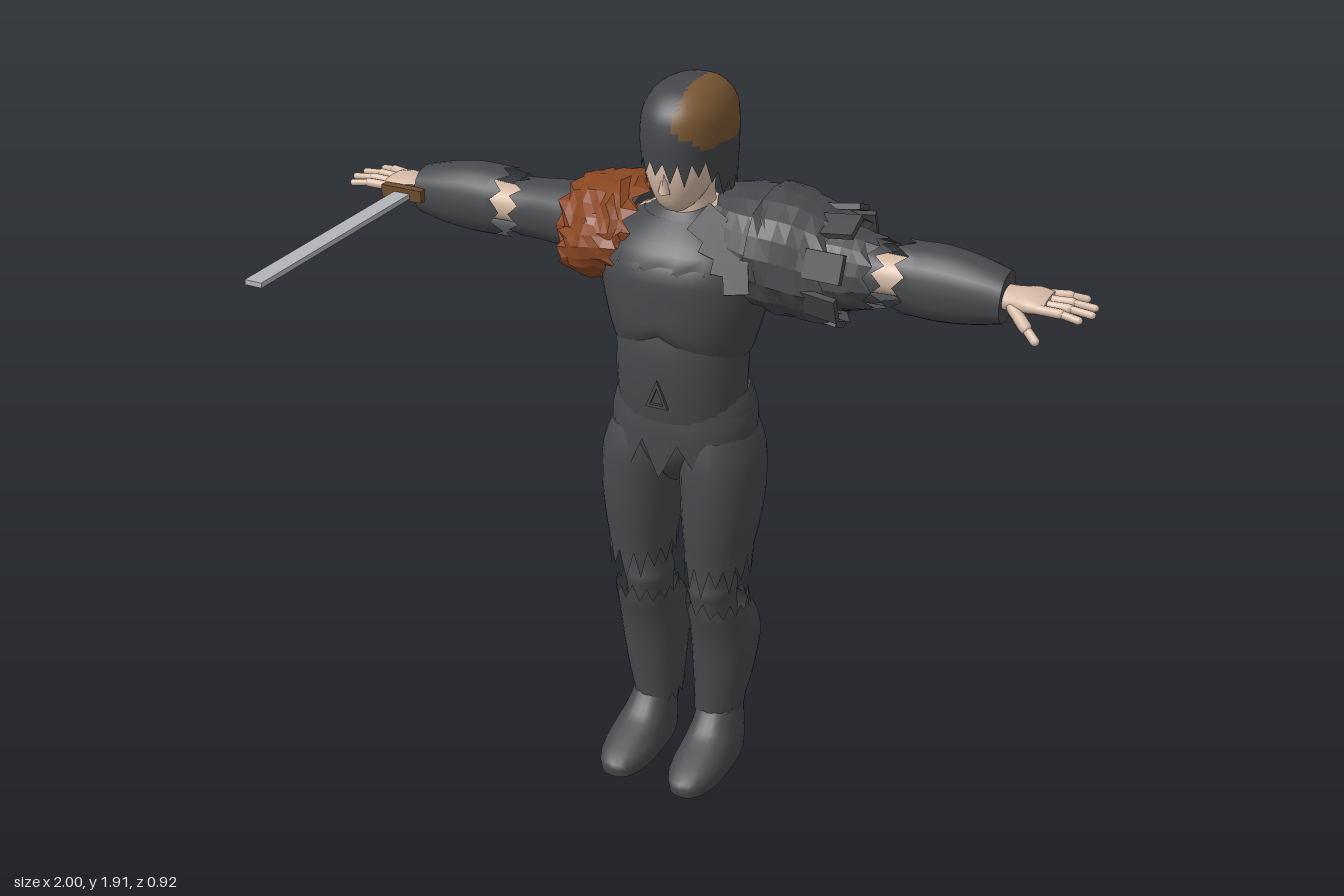
import * as THREE from 'three';

const mat = (name, color, side = THREE.DoubleSide) => {
  const m = new THREE.MeshStandardMaterial({ color, side });
  m.name = name;
  return m;
};
const hash = i => { const s = Math.sin(i * 12.9898 + 4.1) * 43758.5453; return s - Math.floor(s); };
const cat = (a, b, c, d, t) => 0.5 * (2 * b + (c - a) * t + (2 * a - 5 * b + 4 * c - d) * t * t + (3 * b - a - 3 * c + d) * t * t * t);

// Skin through elliptical sections [t, a, b, ra, rb]; axis y: a=x, b=z; axis x: a=y, b=z.
// jag0 / jag1 cut the first / last ring into teeth, crumple wrinkles the cloth.
function loft(axis, secs, { n = 28, steps = 3, pow = 0.9, jag0 = 0, jag1 = 0, cap = true, crumple = 0, warp, flat } = {}) {
  const rings = [];
  for (let i = 0; i < secs.length - 1; i++) for (let k = 0; k < steps; k++)
    rings.push(secs[i].map((_, c) => cat((secs[i - 1] ?? secs[i])[c], secs[i][c], secs[i + 1][c], (secs[i + 2] ?? secs[i + 1])[c], k / steps)));
  rings.push(secs[secs.length - 1]);
  const pos = [], idx = [], last = rings.length - 1;
  const put = (t, a, b) => {
    const p = axis === 'y' ? new THREE.Vector3(a, t, b) : new THREE.Vector3(t, a, b);
    if (warp) warp(p);
    pos.push(p.x, p.y, p.z);
  };
  const se = v => Math.sign(v) * Math.abs(v) ** pow;
  const ring = (j, teeth) => {
    const [t, a, b, ra, rb] = rings[j];
    for (let i = 0; i < n; i++) {
      const th = i / n * Math.PI * 2 * (axis === 'y' ? 1 : -1), w = 1 + crumple * (hash(i + j * 7) - 0.5);
      const tooth = teeth ? (i % 2) * (0.4 + 0.6 * hash(i)) * (j === 0 ? -jag0 : j === last ? jag1 : 0) : 0;
      put(t + tooth, a + se(Math.cos(th)) * ra * w, b + se(Math.sin(th)) * rb * w);
    }
  };
  rings.forEach((_, j) => ring(j, true));
  for (let j = 0; j < last; j++) for (let i = 0; i < n; i++) {
    const a = j * n + i, b = j * n + (i + 1) % n;
    idx.push(a, a + n, b, b, a + n, b + n);
  }
  for (const j of [0, last]) {
    if (!cap || (j ? jag1 : jag0)) continue;
    const s = pos.length / 3;
    ring(j, false);
    put(rings[j][0], rings[j][1], rings[j][2]);
    for (let i = 0; i < n; i++) {
      const q = (i + 1) % n;
      idx.push(s + n, s + (j ? q : i), s + (j ? i : q));
    }
  }
  let g = new THREE.BufferGeometry();
  g.setAttribute('position', new THREE.Float32BufferAttribute(pos, 3));
  g.setIndex(idx);
  if (flat) g = g.toNonIndexed();
  g.computeVertexNormals();
  return g;
}

// Sort faces into two material groups by a rule on their centres
function split(g, rule) {
  const p = g.attributes.position, src = g.index.array, sets = [[], []];
  for (let i = 0; i < src.length; i += 3) {
    const c = new THREE.Vector3(), v = new THREE.Vector3();
    for (let k = 0; k < 3; k++) c.add(v.fromBufferAttribute(p, src[i + k]));
    sets[rule(c.divideScalar(3)) ? 1 : 0].push(src[i], src[i + 1], src[i + 2]);
  }
  g.setIndex([...sets[0], ...sets[1]]);
  g.addGroup(0, sets[0].length, 0);
  g.addGroup(sets[0].length, sets[1].length, 1);
  return g;
}

function mirrored(g) {
  const m = g.index ? g.toNonIndexed() : g.clone();
  for (const name of ['position', 'normal']) {
    const a = m.attributes[name];
    for (let i = 0; i < a.count; i += 3) {
      const t = [0, 2, 1].map(k => [-a.getX(i + k), a.getY(i + k), a.getZ(i + k)]);
      t.forEach((v, k) => a.setXYZ(i + k, ...v));
    }
  }
  return m;
}

export function createModel() {
  const model = new THREE.Group();
  const armour = mat('charcoal', 0x48494c), hairMat = mat('dark hair', 0x45464a), brown = mat('hair brown', 0x785632);
  const rust = mat('rust cloth', 0x8a4722), skin = mat('skin', 0xd6baa6);
  const steel = mat('steel', 0xb4b5b8), wood = mat('hilt brown', 0x6e4e30);
  const add = (name, g, m) => {
    const mesh = new THREE.Mesh(g, m);
    mesh.name = name;
    model.add(mesh);
    return mesh;
  };
  const pair = (name, g, m) => { add(name + 'Left', g, m); add(name + 'Right', mirrored(g), m); };

  // Legs
  pair('boot', loft('y', [[0, .103, -.14, .07, .17], [.04, .103, -.14, .073, .17], [.075, .103, -.175, .066, .135], [.11, .1, -.215, .06, .095], [.17, .095, -.24, .052, .072]], { pow: .8 }), armour);
  pair('greave', loft('y', [[.15, .092, -.24, .062, .082], [.24, .1, -.245, .075, .096], [.36, .105, -.247, .086, .112], [.44, .105, -.225, .084, .108], [.5, .103, -.185, .08, .088]],
    { jag0: .05, jag1: .045 }), armour);
  pair('knee', loft('y', [[.4, .095, -.2, .055, .07], [.52, .093, -.185, .058, .075], [.56, .093, -.18, .06, .08], [.6, .093, -.18, .054, .073], [.72, .1, -.19, .07, .09]]), armour);
  pair('thigh', loft('y', [[.66, .108, -.18, .08, .108], [.75, .111, -.19, .092, .13], [.86, .112, -.195, .1, .142], [.96, .108, -.197, .098, .142], [1.03, .1, -.2, .08, .13]],
    { jag0: .085, cap: false }), armour);

  // Hips, belly and chest
  add('pelvis', loft('y', [[.88, 0, -.19, .03, .07], [.95, 0, -.195, .1, .125], [1.02, 0, -.2, .165, .145], [1.08, 0, -.2, .182, .15], [1.13, 0, -.195, .165, .143]]), armour);
  add('waistCloth', loft('y', [[1.02, 0, -.2, .186, .157], [1.06, 0, -.2, .187, .156], [1.115, 0, -.2, .172, .15]], { jag0: .1, cap: false }), armour);
  add('belly', loft('y', [[1.08, 0, -.185, .162, .14], [1.18, 0, -.18, .166, .145], [1.28, 0, -.18, .166, .145], [1.38, 0, -.19, .17, .13]]), armour);
  const arch = p => {
    if (p.z > -.2 && p.y < 1.36) p.y += .075 * Math.max(0, 1 - Math.abs(p.x) / .17) * (1.36 - p.y) / .12 * Math.min(1, (p.z + .2) / .1);
  };
  const bareBack = p => p.z < -.2 && p.y > 1.45 && Math.abs(p.x + .015) < (p.y - 1.42) * .85;
  add('chest', split(loft('y', [[1.24, 0, -.2, .168, .162], [1.3, 0, -.2, .185, .175], [1.4, 0, -.203, .21, .18], [1.48, 0, -.203, .21, .174], [1.54, 0, -.215, .175, .142], [1.59, 0, -.22, .1, .09], [1.61, 0, -.22, .065, .07]],
    { n: 48, warp: arch }), bareBack), [armour, skin]);
  add('collar', split(loft('y', [[1.49, 0, -.205, .213, .176], [1.54, 0, -.215, .181, .148], [1.585, 0, -.22, .112, .1]], { n: 36, jag0: .06, cap: false }), bareBack), [armour, skin]);
  const triangle = new THREE.Shape([[-.03, 1.125], [.03, 1.125], [0, 1.2]].map(p => new THREE.Vector2(...p)));
  triangle.holes.push(new THREE.Path([[-.018, 1.133], [0, 1.178], [.018, 1.133]].map(p => new THREE.Vector2(...p))));
  add('bellyTriangle', new THREE.ExtrudeGeometry(triangle, { depth: .008, bevelEnabled: false }), armour).position.z = -.038;

  // Head and hair
  add('neck', loft('y', [[1.54, 0, -.22, .085, .09], [1.6, 0, -.21, .062, .07], [1.7, 0, -.21, .058, .07]]), skin);
  add('face', loft('y', [[1.613, 0, -.135, .025, .025], [1.635, 0, -.15, .05, .06], [1.69, 0, -.17, .078, .1], [1.75, 0, -.185, .088, .117], [1.83, 0, -.2, .088, .12]]), skin);
  const nose = add('nose', new THREE.ConeGeometry(.016, .06, 4), skin);
  nose.position.set(0, 1.7, -.07);
  const hair = loft('y', [[1.745, 0, -.21, .102, .15], [1.79, 0, -.21, .106, .152], [1.85, 0, -.21, .1, .142], [1.89, 0, -.21, .076, .106], [1.908, 0, -.21, .045, .065], [1.914, 0, -.21, .012, .015]],
    { n: 40, steps: 4, jag0: .055, warp: p => { if (p.z < -.13 && p.y < 1.8) p.y -= .075 * Math.min(1, (-.13 - p.z) / .06) * Math.min(1, (1.8 - p.y) / .055); } });
  add('hair', split(hair, p => p.x > .022 && p.y > 1.775 && ((p.z + .185) / .135) ** 2 + ((p.y - 1.86) / .095) ** 2 < 1), [hairMat, brown]);

  // Arms
  pair('upperArm', loft('x', [[.14, 1.49, -.25, .1, .12], [.26, 1.49, -.26, .09, .1], [.38, 1.49, -.265, .08, .085], [.475, 1.485, -.267, .074, .074]], { jag1: .05, n: 20 }), armour);
  pair('elbow', loft('x', [[.42, 1.485, -.267, .05, .055], [.53, 1.485, -.27, .046, .05], [.62, 1.485, -.272, .05, .055]]), skin);
  pair('forearm', loft('x', [[.555, 1.485, -.275, .088, .082], [.63, 1.485, -.275, .09, .084], [.71, 1.485, -.27, .08, .077], [.785, 1.485, -.265, .062, .064]], { jag0: .05, n: 20 }), armour);

  // Hands
  pair('palm', loft('x', [[.75, 1.485, -.265, .03, .04], [.8, 1.488, -.262, .026, .044], [.85, 1.492, -.262, .024, .06], [.885, 1.492, -.262, .016, .058]], { n: 16 }), skin);
  const finger = (a, b, r) => {
    const A = new THREE.Vector3(...a), B = new THREE.Vector3(...b), d = B.clone().sub(A);
    const g = new THREE.CapsuleGeometry(r, d.length(), 3, 8);
    g.applyQuaternion(new THREE.Quaternion().setFromUnitVectors(new THREE.Vector3(0, 1, 0), d.normalize()));
    return g.translate(...A.add(B).multiplyScalar(.5).toArray());
  };
  [[-.31, -.325, .955], [-.278, -.283, .985], [-.246, -.242, .989], [-.215, -.2, .97]].forEach(([z0, z1, x], i) => {
    const mid = [(x + .88) / 2, 1.495, (z0 + z1) / 2];
    pair('finger' + i, finger([.865, 1.492, z0], mid, .012), skin);
    pair('fingertip' + i, finger(mid, [x, 1.49, z1], .0095), skin);
  });
  pair('thumb', finger([.81, 1.48, -.225], [.855, 1.455, -.185], .015), skin);
  pair('thumbTip', finger([.855, 1.455, -.185], [.885, 1.435, -.165], .011), skin);

  // Rust shoulder wrap on the right
  const wrap = { n: 22, crumple: .13, flat: true, cap: false };
  add('shoulderWrap', loft('x', [[-.32, 1.49, -.265, .105, .125], [-.25, 1.5, -.25, .12, .15], [-.17, 1.52, -.235, .115, .165], [-.12, 1.535, -.23, .09, .155]], { ...wrap, jag0: .025, jag1: .05 }), rust);
  add('wrapFlap', loft('x', [[-.29, 1.46, -.2, .07, .11], [-.22, 1.485, -.185, .095, .13], [-.14, 1.5, -.175, .075, .12]], { ...wrap, jag0: .03, jag1: .035 }), rust);

  // Layered plates on the left shoulder
  const plate = { n: 18, crumple: .09, flat: true, cap: false };
  add('innerPauldron', loft('x', [[.1, 1.575, -.24, .07, .13], [.16, 1.535, -.25, .115, .175], [.25, 1.505, -.26, .14, .165], [.34, 1.49, -.265, .125, .135]], { ...plate, jag0: .03, jag1: .05 }), armour);
  add('outerPauldron', loft('x', [[.2, 1.515, -.255, .145, .18], [.29, 1.5, -.26, .145, .165], [.37, 1.48, -.265, .13, .145]], { ...plate, jag1: .04 }), armour);
  add('armRing', loft('x', [[.33, 1.485, -.265, .105, .115], [.4, 1.485, -.265, .1, .105], [.46, 1.485, -.267, .085, .09]], { ...plate, jag1: .04 }), armour);
  for (let i = 0; i < 8; i++) {
    const a = i / 8 * Math.PI * 2 + .4;
    const slat = add('shoulderSlat' + i, new THREE.BoxGeometry(.1, .015, .07), armour);
    slat.position.set(.33 + .07 * hash(i), 1.49 + Math.sin(a) * .13, -.265 - Math.cos(a) * .155);
    slat.rotation.set(Math.PI / 2 + a, 0, -.15);
  }
  const spike = add('backSpike', new THREE.ConeGeometry(.035, .1, 4), armour);
  spike.position.set(.14, 1.52, -.42);
  spike.rotation.x = -Math.PI / 2;
  for (let i = 0; i < 4; i++) {
    const scale = add('collarScale' + i, new THREE.BoxGeometry(.06, .08, .015), armour);
    scale.position.set(.1 + .03 * i, 1.6 - .035 * i, -.1 + .012 * i);
    scale.rotation.set(-.5, .3, -.5 + .25 * i);
  }

  // Sword in the right hand
  const box = (name, size, at, m) => add(name, new THREE.BoxGeometry(...size), m).position.set(...at);
  box('blade', [.047, .013, .64], [-.808, 1.489, .135], steel);
  box('guard', [.12, .032, .025], [-.81, 1.492, -.192], wood);
  box('grip', [.026, .026, .13], [-.808, 1.49, -.26], wood);
  box('pommel', [.034, .034, .022], [-.808, 1.49, -.325], wood);
  return model;
}
